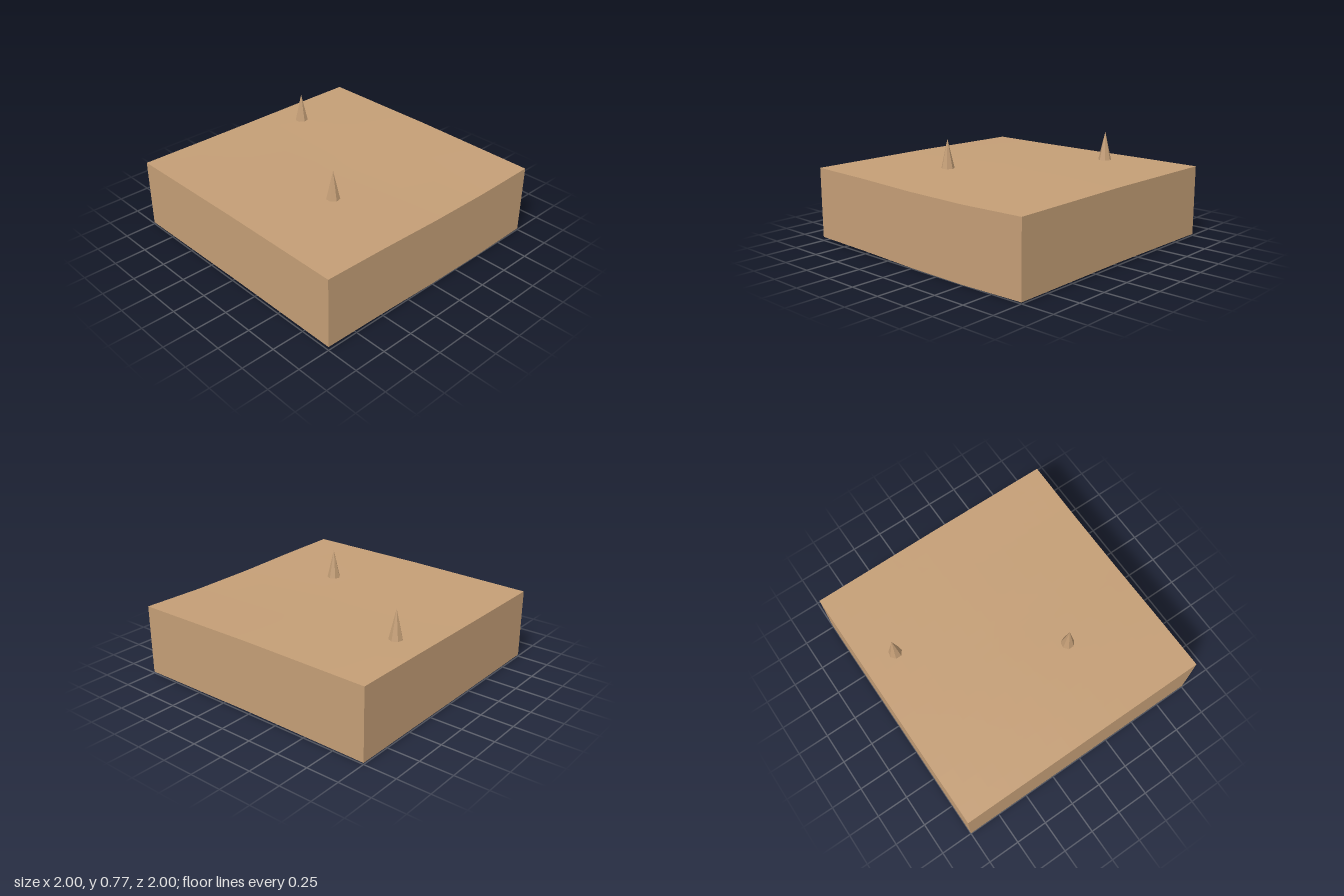
import * as THREE from 'three';

const SKIRT = 0.535; // wall height
const SEG = 16;

// Gentle ground relief: rows run z = -1..1, columns x = -1..1
const RELIEF = [
  [0.011, 0.018, 0.01],
  [0.012, 0.015, 0],
  [0.011, 0.013, 0.004],
  [0.011, 0.02, 0.019],
  [0.013, 0.026, 0.028],
];

function relief(x, z) {
  const u = (x + 1), v = (z + 1) * 2;
  const i = Math.min(1, Math.floor(u)), j = Math.min(3, Math.floor(v));
  const { lerp } = THREE.MathUtils;
  const row = (r) => lerp(RELIEF[r][i], RELIEF[r][i + 1], u - i);
  return lerp(row(j), row(j + 1), v - j);
}

export function createModel() {
  const model = new THREE.Group();
  model.name = 'terrainTile';
  const earth = new THREE.MeshStandardMaterial({ color: 0xc49e76, side: THREE.DoubleSide });
  earth.name = 'sandy earth';

  const add = (name, geometry) => {
    const mesh = new THREE.Mesh(geometry, earth);
    mesh.name = name;
    model.add(mesh);
    return mesh;
  };

  // Softly rolling top surface
  const top = new THREE.PlaneGeometry(2, 2, SEG, SEG).rotateX(-Math.PI / 2);
  const p = top.attributes.position;
  for (let i = 0; i < p.count; i++) p.setY(i, SKIRT + relief(p.getX(i), p.getZ(i)));
  top.computeVertexNormals();
  add('ground', top);

  // Four thin walls that follow the relief; the underside stays open
  ['frontWall', 'leftWall', 'backWall', 'rightWall'].forEach((name, k) => {
    const wall = new THREE.PlaneGeometry(2, SKIRT, SEG, 1);
    wall.translate(0, SKIRT / 2, 1).rotateY(k * Math.PI / 2);
    const q = wall.attributes.position;
    for (let i = 0; i < q.count; i++) {
      const x = THREE.MathUtils.clamp(q.getX(i), -1, 1);
      const z = THREE.MathUtils.clamp(q.getZ(i), -1, 1);
      q.setXYZ(i, x, q.getY(i) + relief(x, z), z);
    }
    add(name, wall);
  });

  // Seven-sided spikes standing on the ground
  const spike = new THREE.ConeGeometry(0.051, 0.223, 7, 1, true)
    .rotateY(Math.PI).translate(0, 0.1115, 0).toNonIndexed();
  spike.computeVertexNormals();
  [[-0.75, -0.33], [0.33, 0.33]].forEach(([x, z], i) => {
    add('spike' + (i + 1), spike).position.set(x, SKIRT + relief(x, z), z);
  });

  return model;
}
